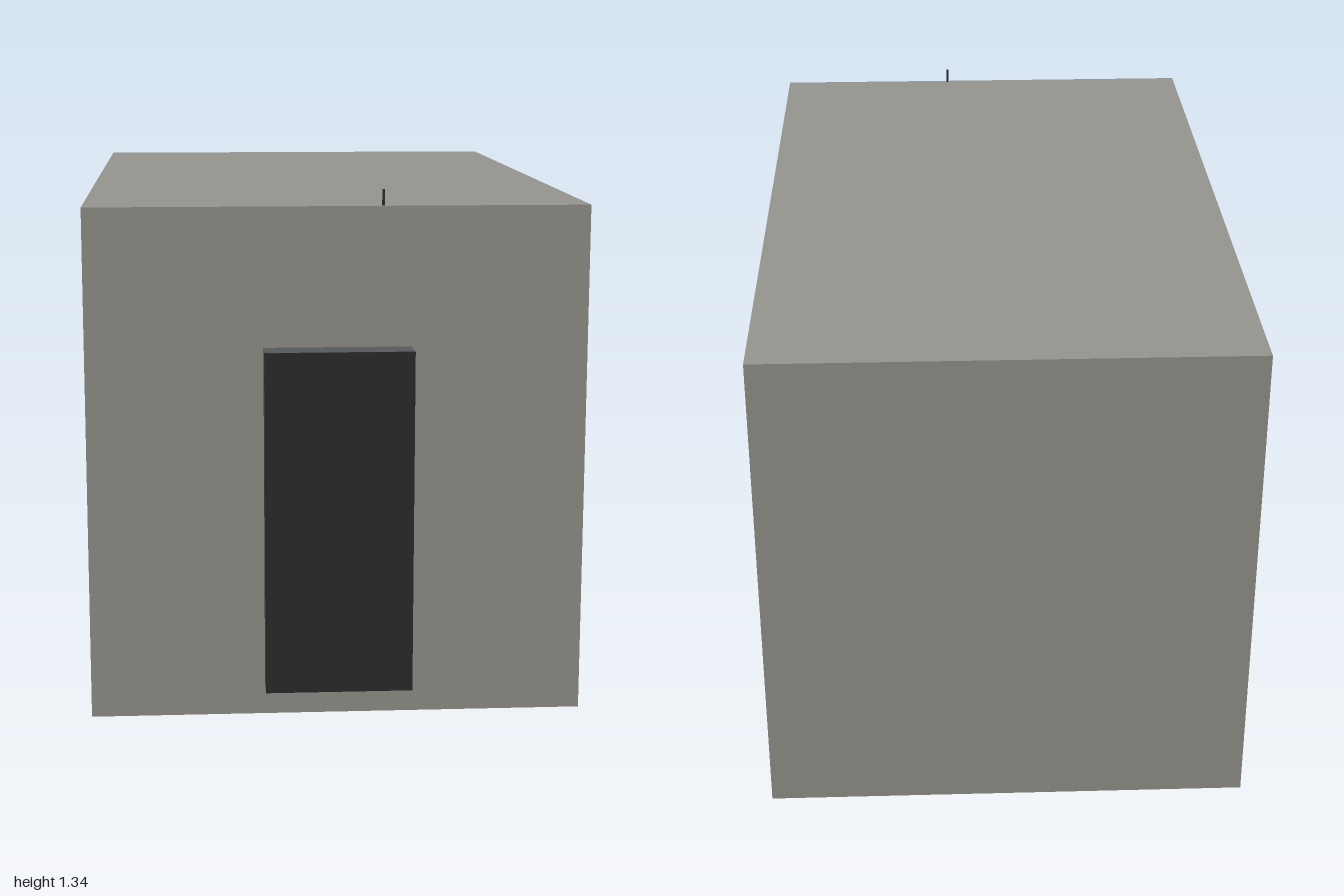
import * as THREE from 'three';

export function createModel() {
  const model = new THREE.Group();
  const mat = (name, color, side = THREE.FrontSide) => {
    const m = new THREE.MeshStandardMaterial({ color, side });
    m.name = name;
    return m;
  };
  const concrete = mat('concrete', 0x97958f, THREE.DoubleSide);
  const steel = mat('steel', 0x575b5d);
  const black = mat('black', 0x2c2c2c);

  // Room extents
  const X0 = -0.597, X1 = 0.593, Y0 = 0.063, Y1 = 1.297, Z0 = -1, Z1 = 0.922;
  const W = X1 - X0, H = Y1 - Y0, D = Z1 - Z0;
  const cx = (X0 + X1) / 2, cy = (Y0 + Y1) / 2, cz = (Z0 + Z1) / 2;
  const edgeZ = 0.325, floorY = 0.14, gapX = -0.147;

  const add = (parent, name, geometry, material, x, y, z) => {
    const mesh = new THREE.Mesh(geometry, material);
    mesh.name = name;
    mesh.position.set(x, y, z);
    parent.add(mesh);
    return mesh;
  };
  const plane = (parent, name, w, h, x, y, z, rx = 0, ry = 0) =>
    add(parent, name, new THREE.PlaneGeometry(w, h), concrete, x, y, z).rotation.set(rx, ry, 0);
  // Box given by its lower and upper corners
  const box = (parent, name, material, x0, y0, z0, x1, y1, z1) =>
    add(parent, name, new THREE.BoxGeometry(x1 - x0, y1 - y0, z1 - z0), material,
      (x0 + x1) / 2, (y0 + y1) / 2, (z0 + z1) / 2);
  const group = (name) => {
    const g = new THREE.Group();
    g.name = name;
    model.add(g);
    return g;
  };

  // Thin-walled room, open underneath behind the platform
  const room = group('room');
  plane(room, 'frontWall', W, H, cx, cy, Z1);
  plane(room, 'backWall', W, H, cx, cy, Z0, 0, Math.PI);
  plane(room, 'leftWall', D, H, X1, cy, cz, 0, Math.PI / 2);
  plane(room, 'rightWall', D, H, X0, cy, cz, 0, -Math.PI / 2);
  plane(room, 'roof', W, D, cx, Y1, cz, -Math.PI / 2);

  // Entrance platform with a lower step in the railing gap
  const platform = group('platform');
  const depth = Z1 - edgeZ, midZ = (Z1 + edgeZ) / 2;
  plane(platform, 'platformTop', W, depth, cx, floorY, midZ, -Math.PI / 2);
  plane(platform, 'platformUnderside', W, depth, cx, Y0, midZ, Math.PI / 2);
  plane(platform, 'platformEdge', X1 - gapX, floorY - Y0, (X1 + gapX) / 2, (floorY + Y0) / 2, edgeZ, 0, Math.PI);
  plane(platform, 'stepRiser', gapX - X0, Y0, (X0 + gapX) / 2, Y0 / 2, edgeZ, 0, Math.PI);

  // Door block with a dark front sheet
  const door = group('door');
  box(door, 'doorFrame', steel, -0.177, 0.141, 0.91, 0.174, 0.965, 0.996);
  box(door, 'doorFront', black, -0.177, 0.141, 0.996, 0.174, 0.965, 1);

  // Railing along the platform edge
  const railing = group('railing');
  const rz = edgeZ + 0.012, bars = 15, r = 0.006;
  for (let i = 0; i < bars; i++) {
    const x = gapX + r + (i / (bars - 1)) * (X1 - gapX - 4 * r);
    box(railing, 'bar', black, x - r, floorY, rz - r, x + r, 0.54, rz + r);
  }
  box(railing, 'bottomRail', black, gapX, 0.17, rz - r, X1 - 0.01, 0.185, rz + r);
  box(railing, 'topRail', black, gapX, 0.53, rz - 0.01, X1 - 0.01, 0.55, rz + 0.01);
  box(railing, 'handrail', black, gapX - 0.03, 0.46, rz - 0.012, X1 - 0.01, 0.485, rz + 0.012);

  // Control panel on the inside of the front wall, and the wire over the door
  box(model, 'controlPanel', steel, -0.41, 0.73, 0.895, -0.23, 0.84, 0.919);
  box(model, 'wire', black, 0.102, 0.965, 0.912, 0.108, 1.335, 0.918);

  return model;
}
